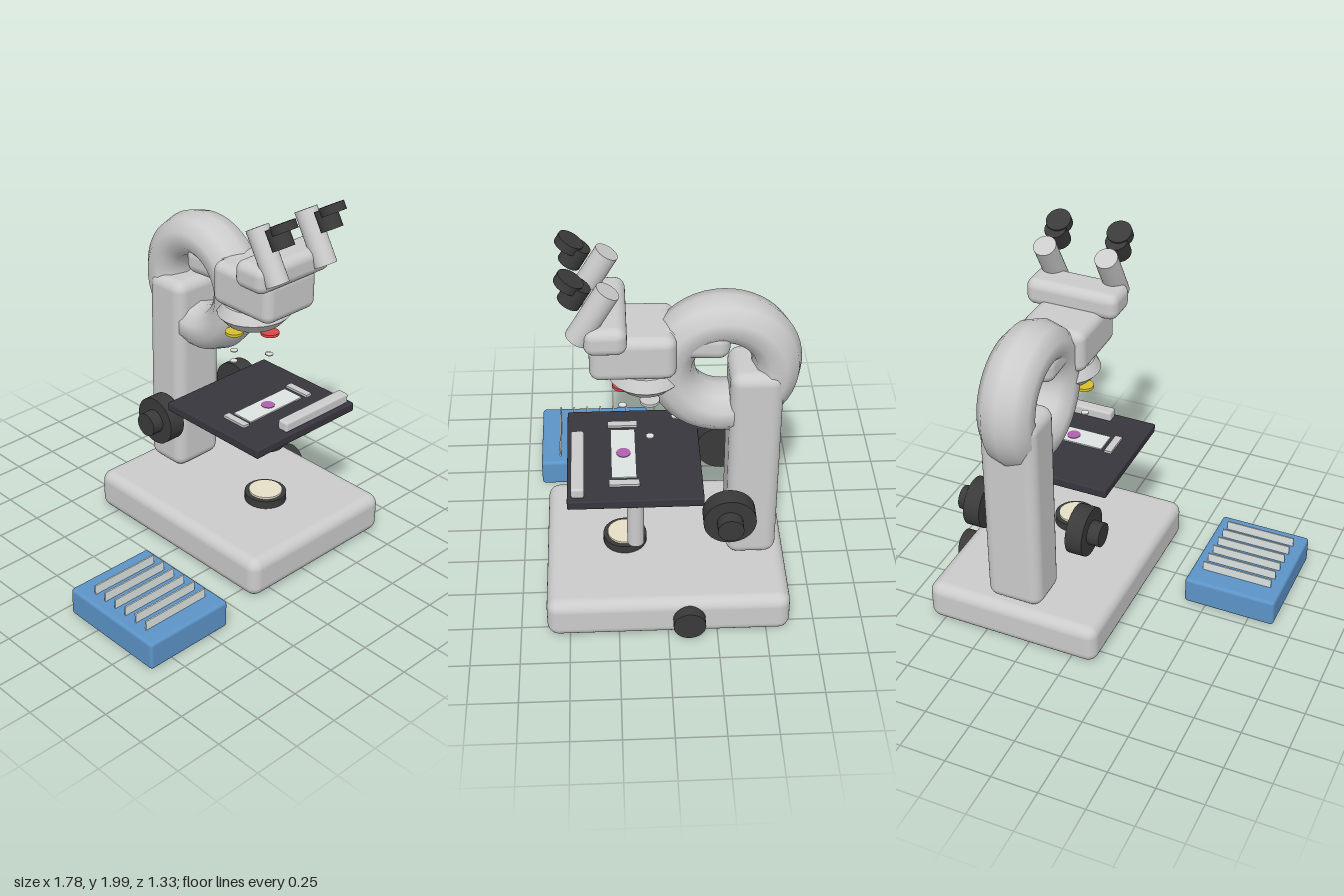
import * as THREE from 'three';
import { RoundedBoxGeometry } from 'three/addons/geometries/RoundedBoxGeometry.js';

const CX = 0.345; // centre line of the microscope
const LZ = 0.207; // optical axis

const mat = (color) => new THREE.MeshStandardMaterial({ color });
const grey = mat(0xcccccc);
const dark = mat(0x3a3a3a);
const stageDark = mat(0x38363e);
const blue = mat(0x5c94c8);
const glass = mat(0xdde4e2);
const cream = mat(0xe8e0c8);

export function createModel() {
  const model = new THREE.Group();

  function add(name, geometry, material, x, y, z) {
    const mesh = new THREE.Mesh(geometry, material);
    mesh.name = name;
    mesh.position.set(x, y, z);
    model.add(mesh);
    return mesh;
  }
  // Boxes are given by their ranges on each axis
  function box(name, material, [x0, x1], [y0, y1], [z0, z1], radius = 0) {
    const size = [x1 - x0, y1 - y0, z1 - z0];
    const geometry = radius
      ? new RoundedBoxGeometry(...size, 4, radius)
      : new THREE.BoxGeometry(...size);
    return add(name, geometry, material, (x0 + x1) / 2, (y0 + y1) / 2, (z0 + z1) / 2);
  }
  // Upright cylinder from y0 to y1
  function disc(name, material, r, y0, y1, x, z) {
    return add(name, new THREE.CylinderGeometry(r, r, y1 - y0, 32), material, x, (y0 + y1) / 2, z);
  }
  // Cylinder lying along x
  function knob(name, r, x0, x1, y, z) {
    const geometry = new THREE.CylinderGeometry(r, r, Math.abs(x1 - x0), 32).rotateZ(Math.PI / 2);
    return add(name, geometry, dark, (x0 + x1) / 2, y, z);
  }

  // Base with lamp and brightness knob
  box('base', grey, [-0.143, 0.833], [0.005, 0.23], [-0.62, 0.615], 0.06);
  knob('brightnessKnob', 0.082, 0.825, 0.888, 0.117, -0.105);
  disc('lampHousing', dark, 0.113, 0.225, 0.275, CX, LZ);
  disc('lampLens', cream, 0.09, 0.27, 0.287, CX, LZ);

  // Column and ring-shaped arm
  box('column', grey, [0.19, 0.5], [0.23, 1.37], [-0.57, -0.313], 0.06);
  const arm = add('arm', new THREE.TorusGeometry(0.26, 0.122, 10, 48).rotateY(Math.PI / 2),
    grey, CX, 1.37, -0.283);
  arm.scale.x = 1.2;
  box('armBridge', grey, [CX - 0.13, CX + 0.13], [1.455, 1.61], [-0.31, 0.06], 0.06).rotation.x = -0.06;

  // Head
  box('head', grey, [0.165, 0.525], [1.38, 1.615], [-0.05, 0.362], 0.05);
  const collar = [[0, 1.27], [0.15, 1.27], [0.15, 1.27], [0.202, 1.325], [0.202, 1.325],
    [0.17, 1.385], [0.17, 1.385], [0, 1.385]].map(([r, y]) => new THREE.Vector2(r, y));
  add('nosepiece', new THREE.LatheGeometry(collar, 24), grey, CX, 0, 0.092).scale.z = 0.93;
  box('eyepieceBase', grey, [0.09, 0.6], [1.575, 1.72], [0.183, 0.385], 0.05);

  // Eyepieces, all leaning back by the same angle
  for (const side of [-1, 1]) {
    const x = CX + side * 0.17;
    const parts = [
      ['eyeTube', grey, 0.06, 0.297, 1.764, 0.34],
      ['eyepiece', dark, 0.058, 0.108, 1.885, 0.418],
      ['eyecup', dark, 0.066, 0.045, 1.945, 0.441],
    ];
    for (const [name, material, r, h, y, z] of parts) {
      add(name, new THREE.CylinderGeometry(r, r, h, 28), material, x, y, z).rotation.x = -0.53;
    }
  }

  // Objective rings with the front lenses floating below them
  const objectives = [
    [0, 0.13, 1.115, 0xd84848],
    [-0.13, 0, 1.072, 0xd8c030],
    [0.13, 0, 1.02, 0xcccccc],
    [0, -0.13, 1.037, 0x4878c8],
  ];
  for (const [dx, dz, lensY, color] of objectives) {
    const x = CX + dx;
    const z = 0.077 + dz;
    disc('objectiveRing', mat(color), 0.048, 1.232, 1.247, x, z);
    disc('objectiveLens', glass, 0.02, lensY - 0.003, lensY + 0.003, x, z);
  }

  // Stage with condenser, post, slide holder and slide
  box('stage', stageDark, [-0.015, 0.705], [0.755, 0.805], [-0.18, 0.49], 0.008);
  disc('condenser', dark, 0.092, 0.575, 0.757, CX, LZ);
  disc('stageControlPost', grey, 0.042, 0.495, 0.757, 0.655, 0.157);
  box('slideHolder', grey, [0.215, 0.68], [0.805, 0.862], [0.405, 0.47], 0.012);
  box('slide', glass, [CX - 0.19, CX + 0.19], [0.804, 0.812], [0.145, 0.27]);
  disc('specimen', mat(0xb060b0), 0.036, 0.81, 0.815, CX, LZ);
  for (const side of [-1, 1]) {
    const x = CX + side * 0.233;
    box('stageClip', grey, [x - 0.02, x + 0.02], [0.804, 0.818], [0.132, 0.284]);
  }

  // Focus knobs on both sides
  for (const side of [-1, 1]) {
    knob('coarseFocusKnob', 0.132, CX + side * 0.248, CX + side * 0.34, 0.627, -0.31);
    knob('fineFocusKnob', 0.065, CX + side * 0.338, CX + side * 0.405, 0.627, -0.31);
  }

  // Slide box with a row of upright slides
  box('slideBox', blue, [-0.89, -0.38], [0.005, 0.16], [0.05, 0.665], 0.018);
  for (let i = 0; i < 6; i++) {
    const z = 0.173 + i * 0.077;
    box('storedSlide', glass, [-0.83, -0.44], [0.08, 0.212], [z - 0.004, z + 0.004]);
  }

  return model;
}
